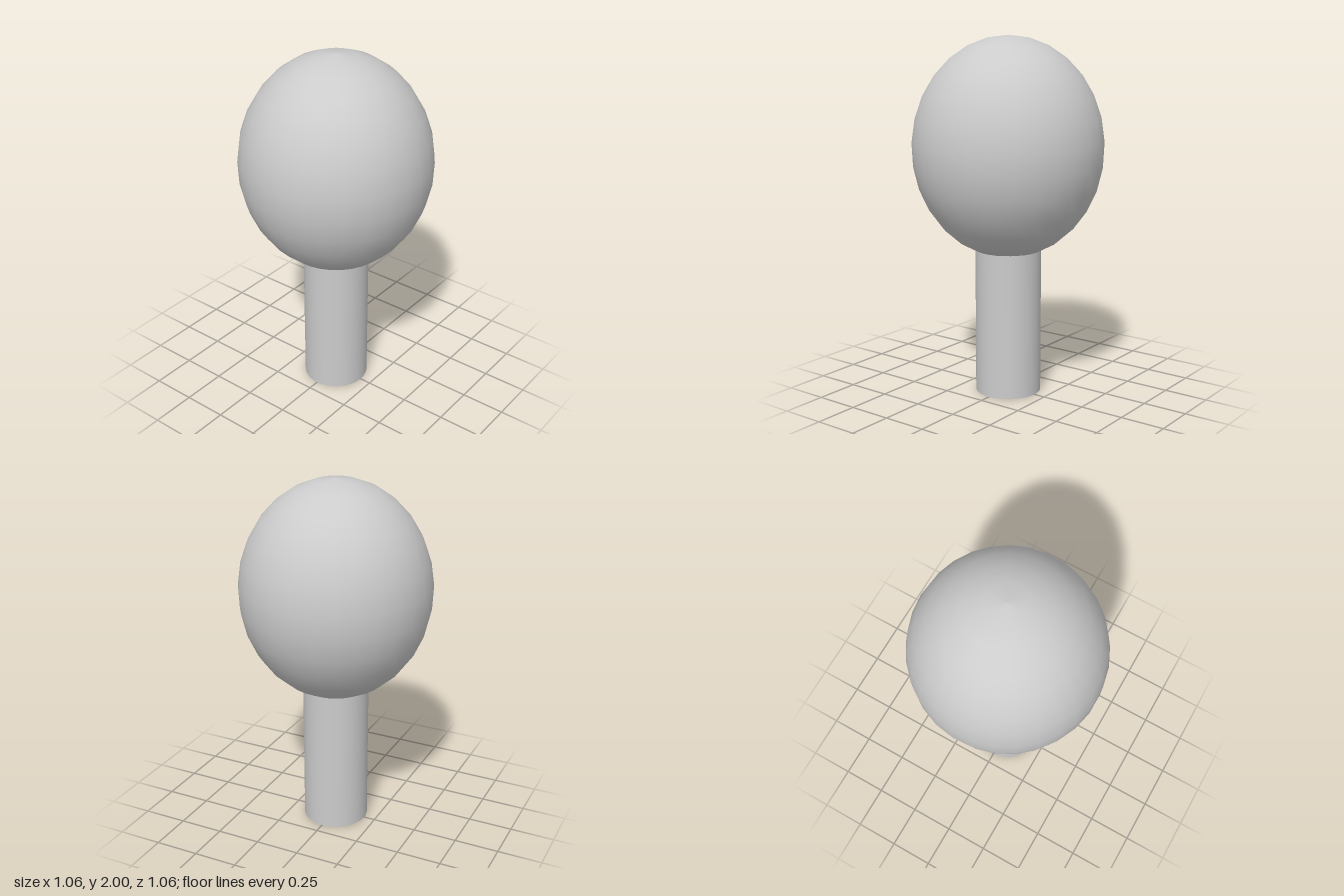
import * as THREE from 'three';

export function createModel() {
  const group = new THREE.Group();
  const material = new THREE.MeshStandardMaterial({ color: 0xcccccc });

  // Upright cylindrical stem, its top tucked just inside the head
  const stemHeight = 0.84;
  const stem = new THREE.Mesh(new THREE.CylinderGeometry(0.184, 0.184, stemHeight, 48), material);
  stem.name = 'stem';
  stem.position.y = stemHeight / 2;
  group.add(stem);

  // Egg-shaped head: half an ellipse in equal angular steps, turned around y
  const sides = 29;
  const radius = 0.53, halfHeight = 0.61, centreY = 1.39;
  const profile = [];
  for (let i = Math.floor(sides / 2); i >= 0; i--) {
    const a = (i / sides) * Math.PI * 2;
    profile.push(new THREE.Vector2(radius * Math.sin(a), halfHeight * Math.cos(a)));
  }
  // Close the underside at the axis
  profile.unshift(new THREE.Vector2(0, profile[0].y));
  const head = new THREE.Mesh(new THREE.LatheGeometry(profile, sides, Math.PI), material);
  head.name = 'head';
  head.position.y = centreY;
  group.add(head);

  return group;
}
